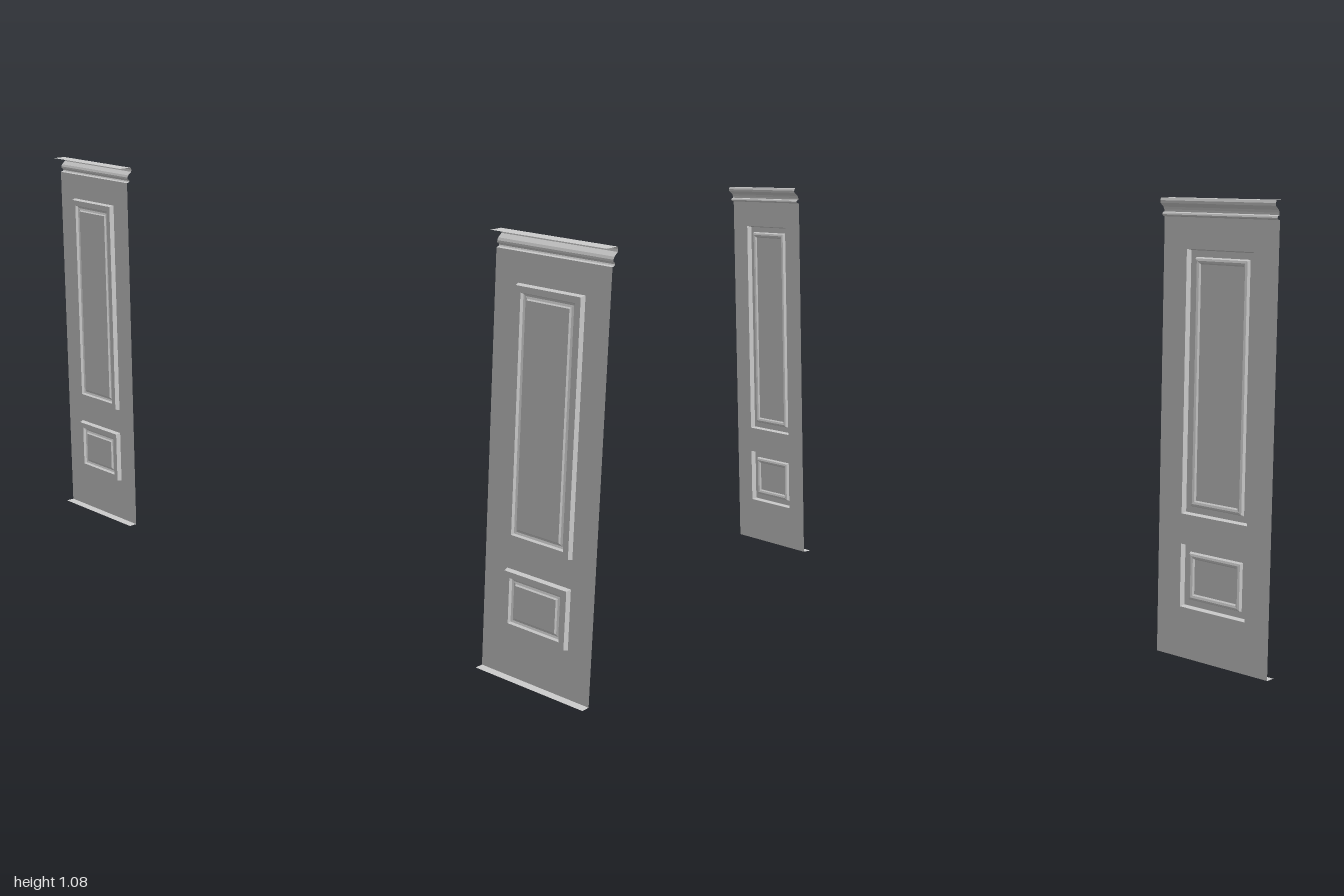
import * as THREE from 'three';

const WIDTH = 0.32;      // width of one wall section
const WALL_Z = -0.004;   // plane of the wall skin; its show side looks to -z
const WALL_TOP = 1.032;

const material = new THREE.MeshStandardMaterial({
  color: 0xcccccc, flatShading: true, side: THREE.DoubleSide,
});

// Recessed panels: half width, bottom, top
const PANELS = [
  { name: 'upperPanel', hw: 0.0935, y0: 0.345, y1: 0.96 },
  { name: 'lowerPanel', hw: 0.0935, y0: 0.122, y1: 0.273 },
];

// Moulding section inside each recess: [inset from the opening, z]
const MOULDING = [
  [0, WALL_Z], [0.003, 0.009], [0.018, 0.009], [0.021, 0.002],
  [0.026, 0.0], [0.031, 0.002], [0.034, 0.006],
];

// Crown section, from the wall up and over the top: [z, y]
const CROWN = [
  [WALL_Z, WALL_TOP], [-0.011, 1.034], [-0.013, 1.037], [-0.011, 1.041],
  [-0.006, 1.043], [-0.006, 1.048], [-0.009, 1.054], [-0.015, 1.059],
  [-0.02, 1.063], [-0.021, 1.069], [-0.018, 1.075], [0.02, 1.075],
];

const BASE_RETURN = [[0.02, 0], [WALL_Z, 0]];

function corners({ hw, y0, y1 }, inset = 0) {
  const w = hw - inset;
  return [[-w, y0 + inset], [w, y0 + inset], [w, y1 - inset], [-w, y1 - inset]];
}

function meshFromQuads(name, quads) {
  const pos = [];
  for (const [a, b, c, d] of quads) pos.push(...a, ...b, ...c, ...a, ...c, ...d);
  const geo = new THREE.BufferGeometry();
  geo.setAttribute('position', new THREE.Float32BufferAttribute(pos, 3));
  geo.computeVertexNormals();
  const mesh = new THREE.Mesh(geo, material);
  mesh.name = name;
  return mesh;
}

// Open section drawn straight across the width
function sweep(name, section) {
  const h = WIDTH / 2, quads = [];
  for (let i = 0; i < section.length - 1; i++) {
    const [z0, y0] = section[i], [z1, y1] = section[i + 1];
    quads.push([[h, y0, z0], [-h, y0, z0], [-h, y1, z1], [h, y1, z1]]);
  }
  return meshFromQuads(name, quads);
}

// Mitred moulding rings closed by the flat inner field
function recessedPanel(panel) {
  const rings = MOULDING.map(([inset, z]) => corners(panel, inset).map(([x, y]) => [x, y, z]));
  const quads = [];
  for (let i = 0; i < rings.length - 1; i++) {
    for (let k = 0; k < 4; k++) {
      const n = (k + 1) % 4;
      quads.push([rings[i][n], rings[i][k], rings[i + 1][k], rings[i + 1][n]]);
    }
  }
  quads.push([...rings[rings.length - 1]].reverse());
  return meshFromQuads(panel.name, quads);
}

// Flat wall skin with openings for the panels
function wallSkin() {
  const h = WIDTH / 2;
  const toPoints = (list) => list.map(([x, y]) => new THREE.Vector2(x, y));
  const shape = new THREE.Shape(toPoints([[-h, 0], [h, 0], [h, WALL_TOP], [-h, WALL_TOP]]));
  for (const p of PANELS) shape.holes.push(new THREE.Path(toPoints(corners(p).reverse())));
  const geo = new THREE.ShapeGeometry(shape);
  geo.rotateY(Math.PI); // show side to -z
  geo.translate(0, 0, WALL_Z);
  const mesh = new THREE.Mesh(geo, material);
  mesh.name = 'wallSkin';
  return mesh;
}

export function createModel() {
  const model = new THREE.Group();
  model.name = 'panelledWallSections';
  for (const side of [-1, 1]) {
    const section = new THREE.Group();
    section.name = side < 0 ? 'rightWallSection' : 'leftWallSection';
    section.add(wallSkin(), sweep('crownMoulding', CROWN), sweep('baseReturn', BASE_RETURN));
    for (const p of PANELS) section.add(recessedPanel(p));
    section.position.x = side * (1 - WIDTH / 2);
    model.add(section);
  }
  return model;
}
